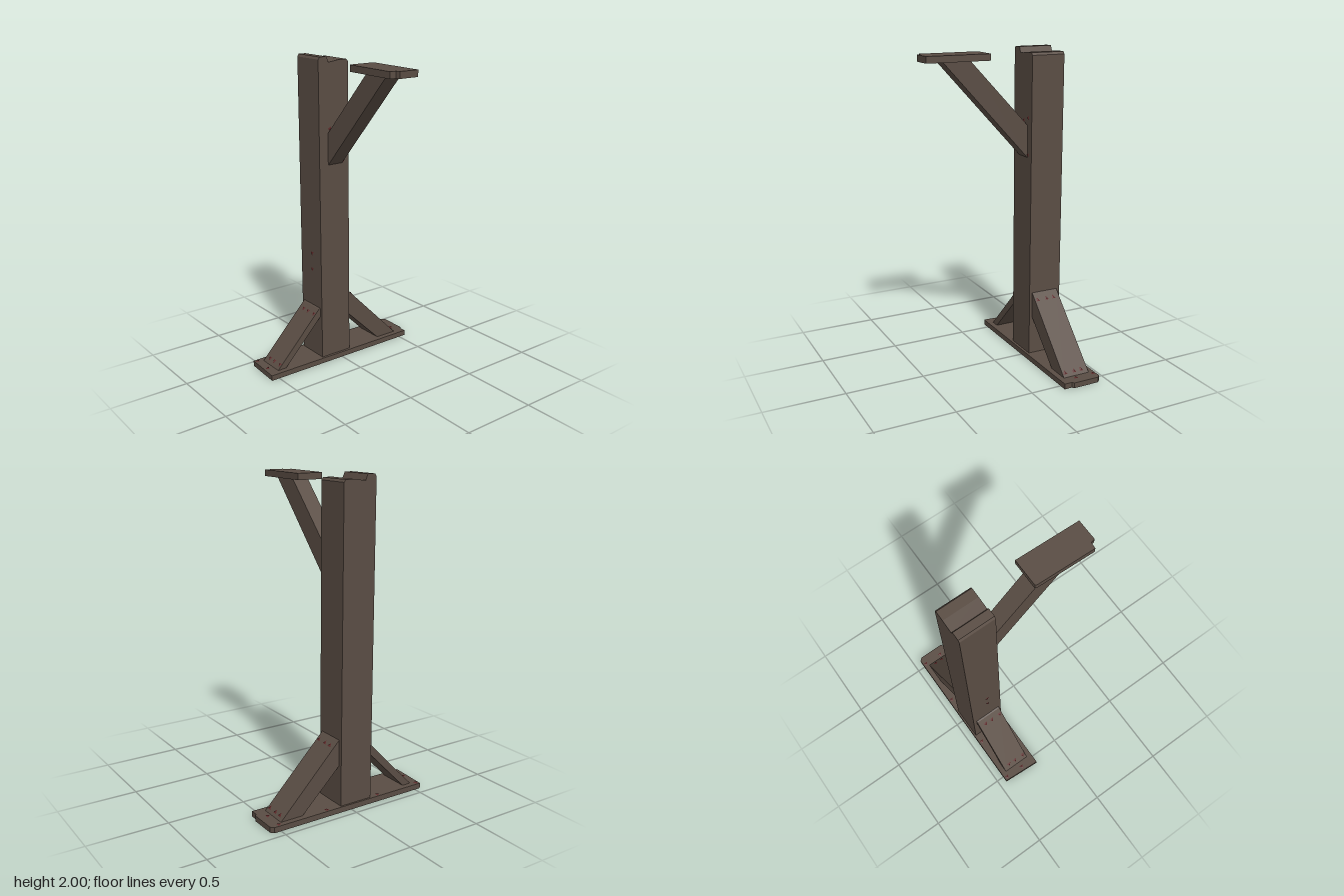
import * as THREE from 'three';

export function createModel() {
  const model = new THREE.Group();
  const wood = new THREE.MeshStandardMaterial({ color: 0x5a4d44 });
  wood.name = 'dark wood';
  const rust = new THREE.MeshStandardMaterial({ color: 0x5c2828 });
  rust.name = 'rusty red';

  const add = (geometry, material, name) => {
    const mesh = new THREE.Mesh(geometry, material);
    mesh.name = name;
    model.add(mesh);
    return mesh;
  };
  const extrude = (points, depth) => new THREE.ExtrudeGeometry(
    new THREE.Shape(points.map(([a, b]) => new THREE.Vector2(a, b))),
    { depth, bevelEnabled: false });
  // Outline in x and z, raised from y0 to y1
  const slab = (points, y0, y1) => extrude(points.map(([x, z]) => [x, -z]), y1 - y0)
    .rotateX(-Math.PI / 2).translate(0, y0, 0);
  // Outline in z and y, spanning x0 to x1
  const sideProfile = (points, x0, x1) => extrude(points, x1 - x0)
    .rotateY(-Math.PI / 2).translate(x1, 0, 0);

  // Foot plank with worn corners
  add(slab([[-0.45, -0.545], [-0.43, -0.563], [-0.26, -0.563], [-0.25, -0.55], [-0.2, -0.55],
    [-0.2, 0.555], [-0.45, 0.54]], 0, 0.035), wood, 'basePlank');

  // Upright post with a raised front lip on its cut top
  add(sideProfile([[-0.072, 0.03], [0.15, 0.03], [0.15, 1.985], [0.14, 2], [0.09, 2],
    [0.075, 1.965], [0, 1.975], [-0.06, 1.975], [-0.072, 1.96]], -0.438, -0.217), wood, 'post');

  // Slanted braces at the foot
  add(sideProfile([[0.14, 0.33], [0.14, 0.385], [0.16, 0.375], [0.49, 0.03], [0.43, 0.03]],
    -0.415, -0.236), wood, 'frontBrace');
  add(sideProfile([[-0.07, 0.29], [-0.07, 0.455], [-0.485, 0.03], [-0.335, 0.03]],
    -0.415, -0.236), wood, 'backBrace');

  // Diagonal arm and the board it carries
  add(extrude([[-0.22, 1.33], [0.345, 1.945], [0.17, 1.945], [-0.22, 1.53]], 0.107)
    .translate(0, 0, -0.022), wood, 'arm');
  add(slab([[0.05, -0.057], [0.455, -0.047], [0.455, 0.085], [0.43, 0.09], [0.425, 0.13],
    [0.06, 0.12], [0.05, 0.115]], 1.94, 1.98), wood, 'armBoard');

  // Small three-sided nail heads, pointing along each surface normal
  const up = new THREE.Vector3(0, 1, 0);
  const nails = (name, normal, spots) => {
    const n = new THREE.Vector3(...normal).normalize();
    for (const spot of spots) {
      const nail = add(new THREE.ConeGeometry(0.02, 0.009, 3), rust, name);
      nail.quaternion.setFromUnitVectors(up, n);
      nail.position.set(...spot).addScaledVector(n, 0.003);
    }
  };
  nails('postNail', [0, 0, 1], [[-0.317, 0.74, 0.15], [-0.317, 0.63, 0.15]]);
  nails('baseNail', [0, 1, 0], [[-0.43, 0.035, -0.505], [-0.305, 0.035, -0.505],
    [-0.43, 0.035, 0.52], [-0.305, 0.035, 0.52], [-0.43, 0.035, -0.17], [-0.43, 0.035, 0.21]]);
  nails('armNail', [1, 0, 0], [[-0.217, 1.58, -0.03], [-0.217, 1.35, -0.03],
    [-0.217, 1.56, 0.025], [-0.217, 1.56, 0.07]]);
  for (const x of [-0.37, -0.32, -0.255]) {
    nails('frontBraceNail', [0, 1, 1.045], [[x, 0.344, 0.19], [x, 0.062, 0.46]]);
    nails('backBraceNail', [0, 1, -1.024], [[x, 0.414, -0.11], [x, 0.056, -0.46]]);
  }
  return model;
}
